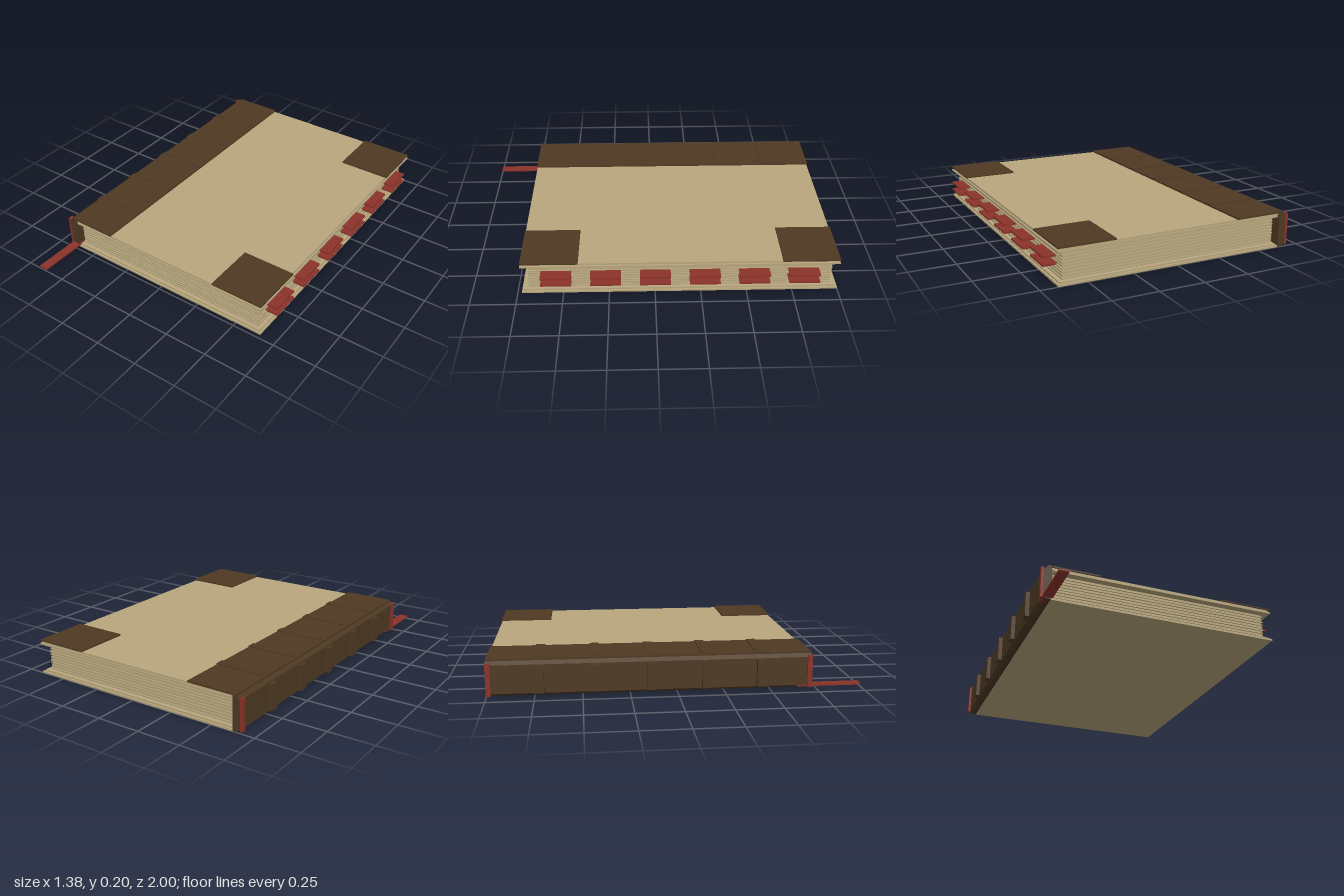
import * as THREE from 'three';

export function createModel() {
  const book = new THREE.Group();
  book.name = 'book';
  const material = (name, color) => {
    const m = new THREE.MeshStandardMaterial({ color });
    m.name = name;
    return m;
  };
  const parchment = material('parchment', 0xb8a67d);
  const leather = material('dark leather', 0x4e3922);
  const red = material('red cloth', 0x8b322a);

  // Box given by its limits on each axis
  const box = (name, mat, [x0, x1], [y0, y1], [z0, z1], parent = book) => {
    const mesh = new THREE.Mesh(new THREE.BoxGeometry(x1 - x0, y1 - y0, z1 - z0), mat);
    mesh.position.set((x0 + x1) / 2, (y0 + y1) / 2, (z0 + z1) / 2);
    mesh.name = name;
    parent.add(mesh);
    return mesh;
  };
  const group = (name) => {
    const g = new THREE.Group();
    g.name = name;
    book.add(g);
    return g;
  };

  const back = -1, front = 0.727;

  // Boards, each with a slightly smaller lining
  box('bottomBoard', parchment, [-0.625, 0.656], [0, 0.01], [back, front]);
  box('bottomLining', parchment, [-0.615, 0.645], [0.01, 0.019], [back + 0.01, front - 0.01]);
  box('topBoardEdge', parchment, [-0.615, 0.656], [0.169, 0.179], [back, front]);
  box('topBoard', parchment, [-0.625, 0.647], [0.179, 0.19], [back + 0.006, front - 0.006]);

  // Page block of thin leaves with uneven edges
  const pages = group('pages');
  const leaves = 18, step = 0.15 / leaves;
  for (let i = 0; i < leaves; i++) {
    const inset = i % 2 ? 0.007 : 0.001 * (i % 3);
    const y = 0.019 + i * step;
    box('leaf', parchment, [-0.61, 0.623 - inset], [y, y + step],
      [back + 0.033 + inset, front - 0.033 - inset], pages);
  }

  // Spine with bevelled outer corners
  const profile = new THREE.Shape([
    [-0.625, 0.003], [-0.648, 0.003], [-0.67, 0.018],
    [-0.67, 0.172], [-0.648, 0.19], [-0.625, 0.19],
  ].map(([x, y]) => new THREE.Vector2(x, y)).reverse());
  const spine = new THREE.Mesh(
    new THREE.ExtrudeGeometry(profile, { depth: front - back, bevelEnabled: false }), leather);
  spine.position.z = back;
  spine.name = 'spine';
  book.add(spine);

  // Leather over the top board: spine strip and two corners
  box('spineStrip', leather, [-0.65, -0.36], [0.19, 0.199], [back, front]);
  for (const z of [[back, -0.69], [0.415, front]]) {
    box('cornerPatch', leather, [0.346, 0.656], [0.19, 0.198], z);
  }

  // Raised bands across the spine and its strip
  const bands = group('bands');
  for (let i = 0; i < 5; i++) {
    const z = -0.725 + i * 0.294;
    box('spineBand', leather, [-0.692, -0.665], [0.022, 0.167], [z - 0.025, z + 0.025], bands);
    box('topBand', leather, [-0.625, -0.357], [0.196, 0.204], [z - 0.025, z + 0.025], bands);
  }

  // Red headbands at both ends of the spine
  for (const z of [[back - 0.001, back + 0.025], [front - 0.025, front + 0.001]]) {
    box('headband', red, [-0.682, -0.668], [0.008, 0.184], z);
  }

  // Bookmark ribbon
  box('ribbon', red, [-0.67, -0.617], [0.009, 0.018], [0.65, 1]);

  // Two rows of index tabs along the fore edge
  const tabs = group('tabs');
  for (const y of [0.075, 0.119]) {
    for (let i = 0; i < 6; i++) {
      const z = -0.81 + i * 0.2695;
      box('tab', red, [0.56, 0.69], [y - 0.005, y + 0.005], [z - 0.083, z + 0.083], tabs);
    }
  }
  return book;
}
